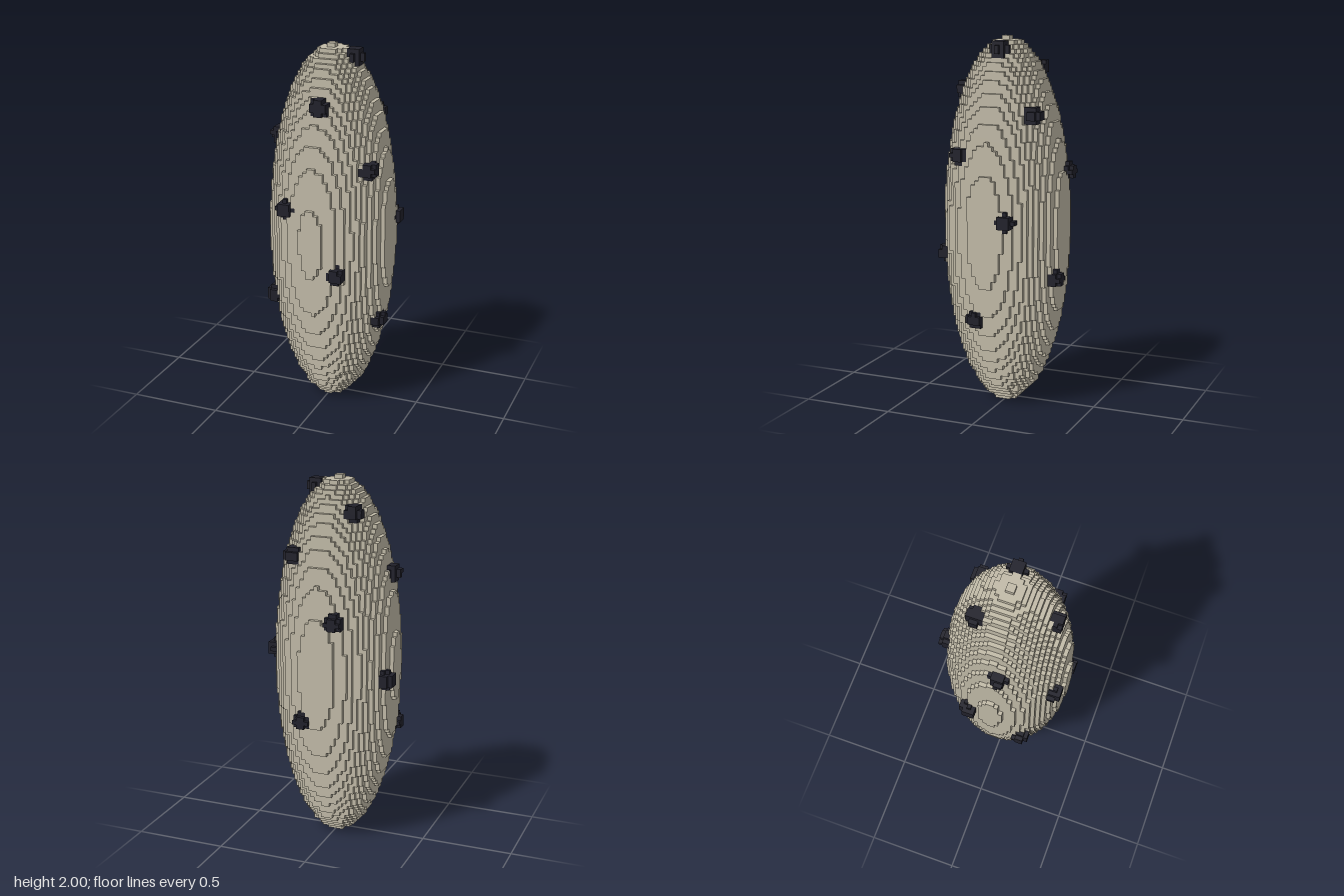
import * as THREE from 'three';

const S = 2 / 90;             // edge of one block
const Z0 = S / 2;             // the block grid sits half a block forward
const NX = 17, NY = 90;       // grid half-width and height in blocks

// Six block sides: outward direction and two edge directions (u x v = n)
const SIDES = [
  [[1, 0, 0], [0, 1, 0], [0, 0, 1]], [[-1, 0, 0], [0, 0, 1], [0, 1, 0]],
  [[0, 1, 0], [0, 0, 1], [1, 0, 0]], [[0, -1, 0], [1, 0, 0], [0, 0, 1]],
  [[0, 0, 1], [1, 0, 0], [0, 1, 0]], [[0, 0, -1], [0, 1, 0], [1, 0, 0]],
];

// Spot centres, spiralling down the surface
const SPOTS = [
  [0.122, 1.933, 0], [-0.13, 1.825, -0.122], [0.022, 1.71, 0.235], [0.17, 1.6, -0.208],
  [-0.28, 1.49, 0.045], [0.265, 1.385, 0.17], [-0.09, 1.28, -0.3], [-0.145, 1.165, 0.298],
  [0.31, 1.055, -0.11], [-0.31, 0.945, -0.115], [0.14, 0.83, 0.298], [0.09, 0.725, -0.3],
  [-0.265, 0.615, 0.165], [0.287, 0.515, 0.07],
];
const SPOT_RADIUS = 2.2 * S;

// Which part fills a block: 0 empty, 1 body, 2 and up a spot
function partAt(i, j, k) {
  const x = (i + 0.5) * S, y = (j + 0.5) * S, z = (k + 0.5) * S + Z0;
  for (let n = 0; n < SPOTS.length; n++) {
    const [a, b, c] = SPOTS[n];
    if (Math.hypot(x - a, y - b, z - c) <= SPOT_RADIUS) return n + 2;
  }
  const ex = (i + 0.5 - 0.22) / 15, ey = (j + 0.5 - 44.65) / 45, ez = (k + 0.5 + 0.22) / 15;
  return ex * ex + ey * ey + ez * ez <= 1 ? 1 : 0;
}

// Collect the exposed block sides of every part
function exposedFaces() {
  const filled = new Map();
  const key = (i, j, k) => (i + 50) * 40000 + (j + 50) * 200 + k + 50;
  for (let i = -NX; i < NX; i++)
    for (let j = 0; j < NY; j++)
      for (let k = -NX; k < NX; k++) {
        const part = partAt(i, j, k);
        if (part) filled.set(key(i, j, k), [part, i, j, k]);
      }

  const faces = Array.from({ length: SPOTS.length + 2 }, () => ({ pos: [], nor: [], idx: [] }));
  for (const [part, i, j, k] of filled.values()) {
    const f = faces[part];
    for (const [n, u, v] of SIDES) {
      if (filled.has(key(i + n[0], j + n[1], k + n[2]))) continue;
      const first = f.pos.length / 3;
      for (const [a, b] of [[-0.5, -0.5], [0.5, -0.5], [0.5, 0.5], [-0.5, 0.5]]) {
        const p = [i, j, k].map((c, q) => (c + 0.5 + n[q] / 2 + a * u[q] + b * v[q]) * S);
        f.pos.push(p[0], p[1], p[2] + Z0);
        f.nor.push(...n);
      }
      f.idx.push(first, first + 1, first + 2, first, first + 2, first + 3);
    }
  }
  return faces;
}

function blockMesh({ pos, nor, idx }, material, name) {
  const geo = new THREE.BufferGeometry();
  geo.setAttribute('position', new THREE.Float32BufferAttribute(pos, 3));
  geo.setAttribute('normal', new THREE.Float32BufferAttribute(nor, 3));
  geo.setIndex(idx);
  const mesh = new THREE.Mesh(geo, material);
  mesh.name = name;
  return mesh;
}

export function createModel() {
  const stone = new THREE.MeshStandardMaterial({ color: 0xc2bba8 });
  stone.name = 'warm grey';
  const dark = new THREE.MeshStandardMaterial({ color: 0x21212b });
  dark.name = 'dark slate';

  const model = new THREE.Group();
  model.name = 'spottedEllipsoid';
  const faces = exposedFaces();

  // Tall stepped body
  model.add(blockMesh(faces[1], stone, 'body'));

  // Small knobs scattered over the body
  const spots = new THREE.Group();
  spots.name = 'spots';
  SPOTS.forEach((_, n) => spots.add(blockMesh(faces[n + 2], dark, 'spot' + (n + 1))));
  model.add(spots);
  return model;
}
